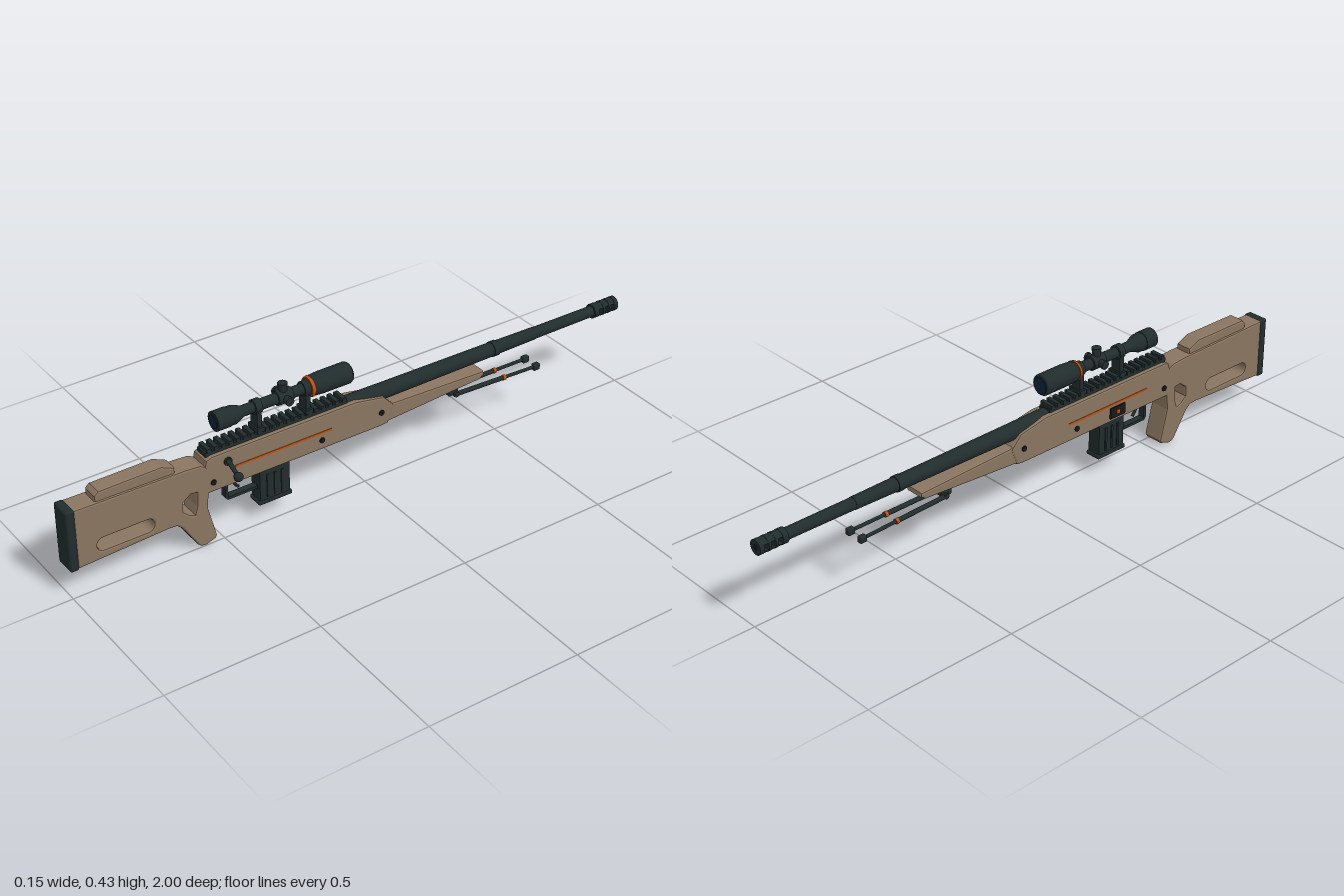
import * as THREE from 'three';
import { RoundedBoxGeometry } from 'three/addons/geometries/RoundedBoxGeometry.js';

const mat = (name, color) => Object.assign(new THREE.MeshStandardMaterial({ color }), { name });

export function createModel() {
  const tan = mat('tan polymer', 0x8a7560);
  const steel = mat('dark steel', 0x212c2c);
  const black = mat('black', 0x14191a);
  const orange = mat('orange', 0xc2500f);
  const glass = mat('lens blue', 0x0c2236);

  const model = new THREE.Group();
  model.name = 'rifle';
  const body = new THREE.Group();
  body.name = 'rifleBody';
  body.position.x = -0.034; // the bolt handle sticks out to +x
  model.add(body);

  const add = (name, geo, m, x = 0, y = 0, z = 0) => {
    const mesh = new THREE.Mesh(geo, m);
    mesh.name = name;
    mesh.position.set(x, y, z);
    body.add(mesh);
    return mesh;
  };
  const box = (name, w, h, d, m, x, y, z, r = 0) =>
    add(name, r ? new RoundedBoxGeometry(w, h, d, 2, r) : new THREE.BoxGeometry(w, h, d), m, x, y, z);
  const pts = (list) => list.map(([z, y]) => new THREE.Vector2(z, y));

  // side profile given as [z, y], extruded across x with a soft edge
  const slab = (name, outline, width, m, bevel = 0.006, holes = []) => {
    const shape = new THREE.Shape(pts(outline));
    holes.forEach((h) => shape.holes.push(h));
    const geo = new THREE.ExtrudeGeometry(shape, {
      depth: width - 2 * bevel, bevelEnabled: bevel > 0, bevelSize: bevel, bevelThickness: bevel,
      bevelOffset: -bevel, bevelSegments: 2, curveSegments: 10,
    });
    geo.translate(0, 0, -(width - 2 * bevel) / 2).rotateY(-Math.PI / 2);
    return add(name, geo, m);
  };
  // cylinder along z from z0 (rear) to z1 (front)
  const tube = (name, z0, z1, r0, r1, y, m, x = 0) =>
    add(name, new THREE.CylinderGeometry(r0, r1, z0 - z1, 24).rotateX(Math.PI / 2), m, x, y, (z0 + z1) / 2);
  // cylinder along x
  const pin = (name, r, len, m, x, y, z, sides = 16) =>
    add(name, new THREE.CylinderGeometry(r, r, len, sides).rotateZ(Math.PI / 2), m, x, y, z);
  // rod between two points
  const rod = (name, a, b, r0, r1, m) => {
    const dir = b.clone().sub(a);
    const mesh = add(name, new THREE.CylinderGeometry(r1, r0, dir.length(), 12), m);
    mesh.position.copy(a).lerp(b, 0.5);
    mesh.quaternion.setFromUnitVectors(new THREE.Vector3(0, 1, 0), dir.normalize());
    return mesh;
  };

  // skeleton stock with a long slot and a thumb hole
  const slot = new THREE.Path();
  slot.absarc(0.89, 0.149, 0.021, -Math.PI / 2, Math.PI / 2, false);
  slot.absarc(0.748, 0.149, 0.021, Math.PI / 2, Math.PI * 1.5, false);
  const thumb = new THREE.Path(pts([[0.632, 0.18], [0.605, 0.2], [0.583, 0.197], [0.586, 0.15],
    [0.594, 0.124], [0.61, 0.13], [0.632, 0.148]]));
  slab('stock', [[0.975, 0.295], [0.975, 0.097], [0.68, 0.111], [0.655, 0.109], [0.638, 0.094], [0.588, 0.014],
    [0.578, 0.005], [0.564, 0.003], [0.53, 0.014], [0.524, 0.024], [0.55, 0.13], [0.545, 0.185],
    [0.545, 0.27], [0.57, 0.285], [0.62, 0.289]], 0.07, tan, 0.006, [slot, thumb]);
  box('buttPad', 0.072, 0.204, 0.028, steel, 0, 0.195, 0.986, 0.006);
  slab('cheekRest', [[0.905, 0.28], [0.905, 0.312], [0.892, 0.324], [0.69, 0.325], [0.648, 0.306], [0.648, 0.28]],
    0.056, tan, 0.006);

  // receiver shell and fore-end
  slab('receiver', [[0.557, 0.18], [0.565, 0.23], [0.55, 0.293], [0.53, 0.3], [0.03, 0.3], [-0.07, 0.281],
    [-0.108, 0.24], [-0.086, 0.184], [-0.06, 0.181]], 0.07, tan, 0.006);
  slab('foreEnd', [[-0.07, 0.25], [-0.07, 0.186], [-0.34, 0.204], [-0.435, 0.21], [-0.452, 0.222],
    [-0.45, 0.235], [-0.12, 0.246]], 0.066, tan, 0.006);

  // top rail with teeth
  box('railBase', 0.044, 0.014, 0.49, steel, 0, 0.304, 0.3);
  for (let i = 0; i < 20; i++) box('railTooth', 0.048, 0.012, 0.014, steel, 0, 0.316, 0.532 - i * 0.0245);

  // barrel
  tube('barrelShank', 0.06, -0.1, 0.028, 0.026, 0.28, steel);
  tube('barrelRear', -0.1, -0.5, 0.026, 0.023, 0.28, steel);
  tube('barrelCollar', -0.5, -0.52, 0.025, 0.025, 0.28, steel);
  tube('barrelMiddle', -0.52, -0.67, 0.022, 0.02, 0.28, steel);
  tube('barrelFront', -0.67, -0.92, 0.019, 0.018, 0.28, steel);

  // muzzle brake: solid bands joined by top and bottom arcs, leaving side slots
  [[-0.905, -0.923], [-0.939, -0.948], [-0.963, -0.971], [-0.986, -1]].forEach(([a, b]) =>
    tube('muzzleBand', a, b, 0.024, 0.024, 0.28, steel));
  for (const s of [0, Math.PI]) {
    const arc = new THREE.Shape();
    arc.absarc(0, 0, 0.023, s + 0.48, s + Math.PI - 0.48, false);
    arc.closePath();
    add('muzzleBridge', new THREE.ExtrudeGeometry(arc, { depth: 0.09, bevelEnabled: false, curveSegments: 14 }),
      steel, 0, 0.28, -0.995);
  }
  tube('muzzleBore', -0.999, -1.0005, 0.01, 0.01, 0.28, black);

  // scope body turned around its own axis: [radius, z]
  const profile = [[0, 0.497], [0.024, 0.497], [0.029, 0.492], [0.029, 0.435], [0.025, 0.425], [0.017, 0.405],
    [0.017, 0.205], [0.025, 0.185], [0.032, 0.165], [0.034, 0.135], [0.034, 0.042], [0.031, 0.037], [0, 0.037]];
  const scopeGeo = new THREE.LatheGeometry(pts(profile).reverse(), 28).rotateX(Math.PI / 2);
  add('scope', scopeGeo.toNonIndexed(), steel, 0, 0.391, 0);
  scopeGeo.dispose();
  tube('scopeRing', 0.181, 0.172, 0.031, 0.033, 0.391, orange);
  tube('eyepieceRim', 0.5, 0.455, 0.031, 0.031, 0.391, steel);
  tube('rearLens', 0.503, 0.499, 0.022, 0.022, 0.391, glass);
  tube('frontLens', 0.038, 0.034, 0.027, 0.027, 0.391, glass);
  tube('turretHousing', 0.29, 0.24, 0.023, 0.023, 0.391, steel);
  add('topTurret', new THREE.CylinderGeometry(0.013, 0.013, 0.04, 20), steel, 0, 0.412, 0.266);
  add('topTurretCap', new THREE.CylinderGeometry(0.015, 0.015, 0.008, 20), steel, 0, 0.433, 0.266);
  for (const s of [-1, 1]) {
    pin('sideTurret', 0.012, 0.03, steel, s * 0.024, 0.391, 0.266, 20);
    pin('sideTurretCap', 0.014, 0.008, steel, s * 0.036, 0.391, 0.266, 20);
  }

  // scope mounts
  for (const z of [0.358, 0.19]) {
    box('mountPost', 0.036, 0.07, 0.016, steel, 0, 0.345, z);
    box('mountFoot', 0.05, 0.014, 0.026, steel, 0, 0.321, z);
    tube('mountRing', z + 0.011, z - 0.011, 0.023, 0.023, 0.391, steel);
  }

  // magazine
  slab('magazine', [[0.368, 0.19], [0.368, 0.066], [0.262, 0.066], [0.262, 0.19]], 0.048, steel, 0.004);
  box('magazineBase', 0.054, 0.014, 0.116, steel, 0, 0.066, 0.315, 0.004);
  for (const s of [-1, 1]) for (const z of [0.29, 0.315, 0.34])
    box('magazineRib', 0.004, 0.08, 0.008, steel, s * 0.025, 0.12, z);

  // trigger and guard
  slab('triggerGuard', [[0.478, 0.19], [0.478, 0.122], [0.47, 0.113], [0.36, 0.113], [0.36, 0.122], [0.468, 0.122],
    [0.469, 0.19]], 0.022, steel, 0);
  const trigger = new THREE.CatmullRomCurve3([[0.445, 0.19], [0.444, 0.165], [0.436, 0.148], [0.427, 0.138]]
    .map(([z, y]) => new THREE.Vector3(0, y, z)));
  add('trigger', new THREE.TubeGeometry(trigger, 10, 0.005, 8), steel);

  // bolt handle on +x
  const root = new THREE.Vector3(0.028, 0.276, 0.48);
  const tip = new THREE.Vector3(0.092, 0.245, 0.48);
  pin('boltRoot', 0.013, 0.014, steel, 0.034, 0.268, 0.48);
  rod('boltHandle', root, tip, 0.008, 0.006, steel);
  add('boltKnob', new THREE.SphereGeometry(0.0145, 20, 14), steel, tip.x, tip.y, tip.z);

  // stripes and screws on both sides
  for (const s of [-1, 1]) {
    box('sideStripe', 0.003, 0.007, 0.335, orange, s * 0.035, 0.24, 0.287);
    for (const [z, y] of [[0.53, 0.214], [0.155, 0.214], [-0.06, 0.23]])
      pin('screw', 0.009, 0.008, black, s * 0.035, y, z, 12);
  }

  // safety catch on -x
  box('safetyPlate', 0.006, 0.036, 0.062, black, -0.037, 0.212, 0.325);
  box('safetyMark', 0.004, 0.012, 0.014, orange, -0.0395, 0.212, 0.325);

  // folded bipod
  box('bipodMount', 0.04, 0.03, 0.036, steel, 0, 0.193, -0.345, 0.004);
  pin('bipodHinge', 0.009, 0.056, steel, 0, 0.182, -0.352);
  for (const s of [-1, 1]) {
    const at = (t) => new THREE.Vector3(s * (0.021 + 0.006 * t), 0.181 - 0.007 * t, -0.345 - 0.32 * t);
    rod('bipodUpperLeg', at(0), at(0.6), 0.0075, 0.0075, steel);
    rod('bipodRing', at(0.585), at(0.615), 0.009, 0.009, orange);
    rod('bipodLowerLeg', at(0.6), at(1), 0.0055, 0.0055, steel);
    box('bipodFoot', 0.018, 0.022, 0.024, steel, at(1).x, at(1).y, -0.663, 0.004);
  }
  return model;
}
